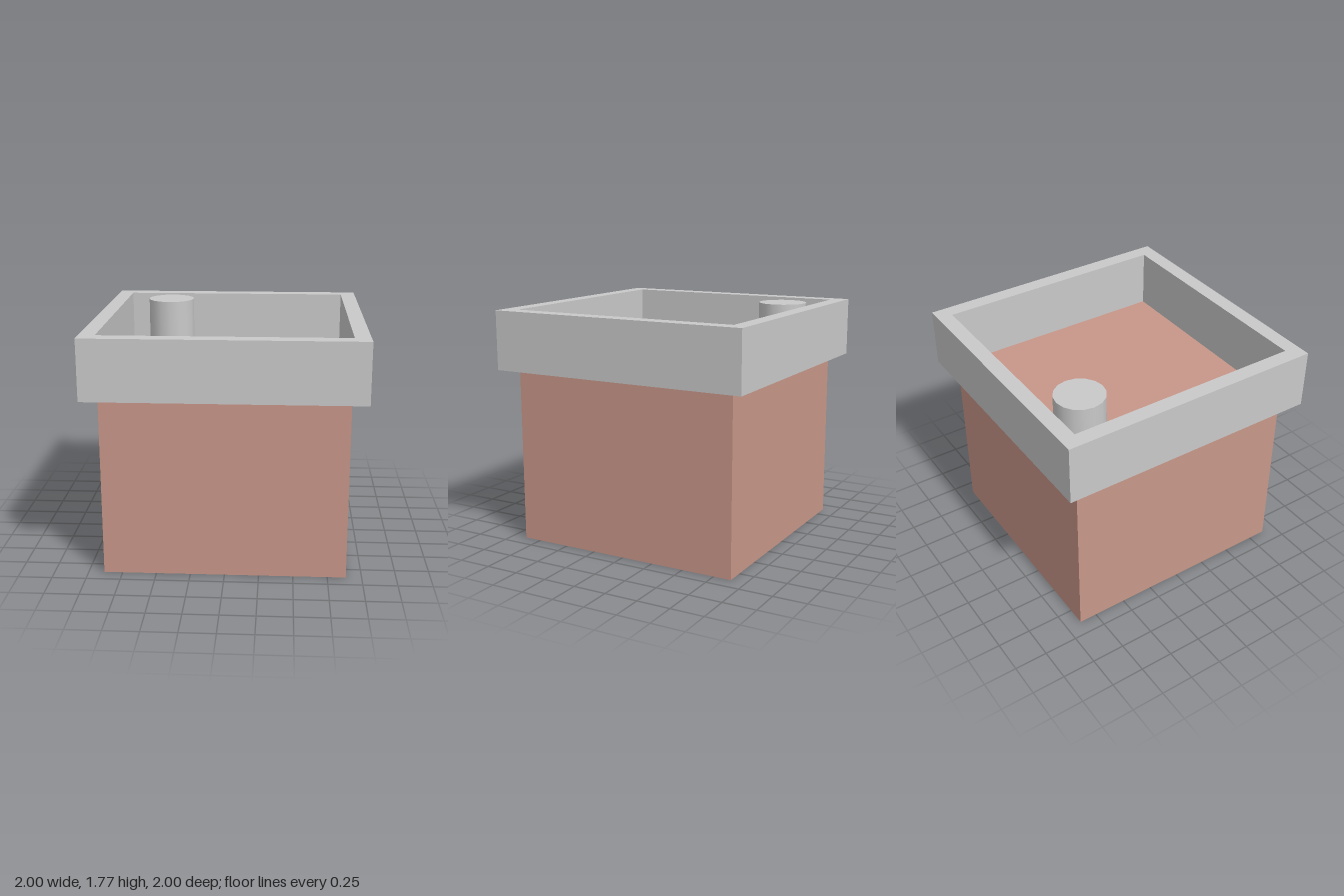
import * as THREE from 'three';

const BODY = 0.885;      // half width of the body and of the rim opening
const FLOOR = 1.33;      // top of the body, bottom of the rim
const TOP = 1.775;       // top of the rim and of the post

const square = (Type, h) => new Type().setFromPoints([
  new THREE.Vector2(-h, -h), new THREE.Vector2(h, -h),
  new THREE.Vector2(h, h), new THREE.Vector2(-h, h),
]);

export function createModel() {
  const model = new THREE.Group();
  model.name = 'squarePlanter';
  const clay = new THREE.MeshStandardMaterial({ color: 0xc89789 });
  clay.name = 'clay';
  const grey = new THREE.MeshStandardMaterial({ color: 0xc9c9c9 });
  grey.name = 'lightGrey';

  const add = (name, geometry, material, x, y, z) => {
    const mesh = new THREE.Mesh(geometry, material);
    mesh.name = name;
    mesh.position.set(x, y, z);
    model.add(mesh);
  };

  // Solid square body
  add('body', new THREE.BoxGeometry(BODY * 2, FLOOR, BODY * 2), clay, 0, FLOOR / 2, 0);

  // Overhanging square rim, open in the middle
  const outline = square(THREE.Shape, 1);
  outline.holes.push(square(THREE.Path, BODY));
  const rim = new THREE.ExtrudeGeometry(outline, { depth: TOP - FLOOR, bevelEnabled: false });
  rim.rotateX(-Math.PI / 2);
  add('rim', rim, grey, 0, FLOOR, 0);

  // Round post standing on the floor near the back corner
  const post = new THREE.CylinderGeometry(0.185, 0.185, TOP - FLOOR, 16);
  add('post', post, grey, -0.525, (TOP + FLOOR) / 2, -0.625);

  return model;
}
